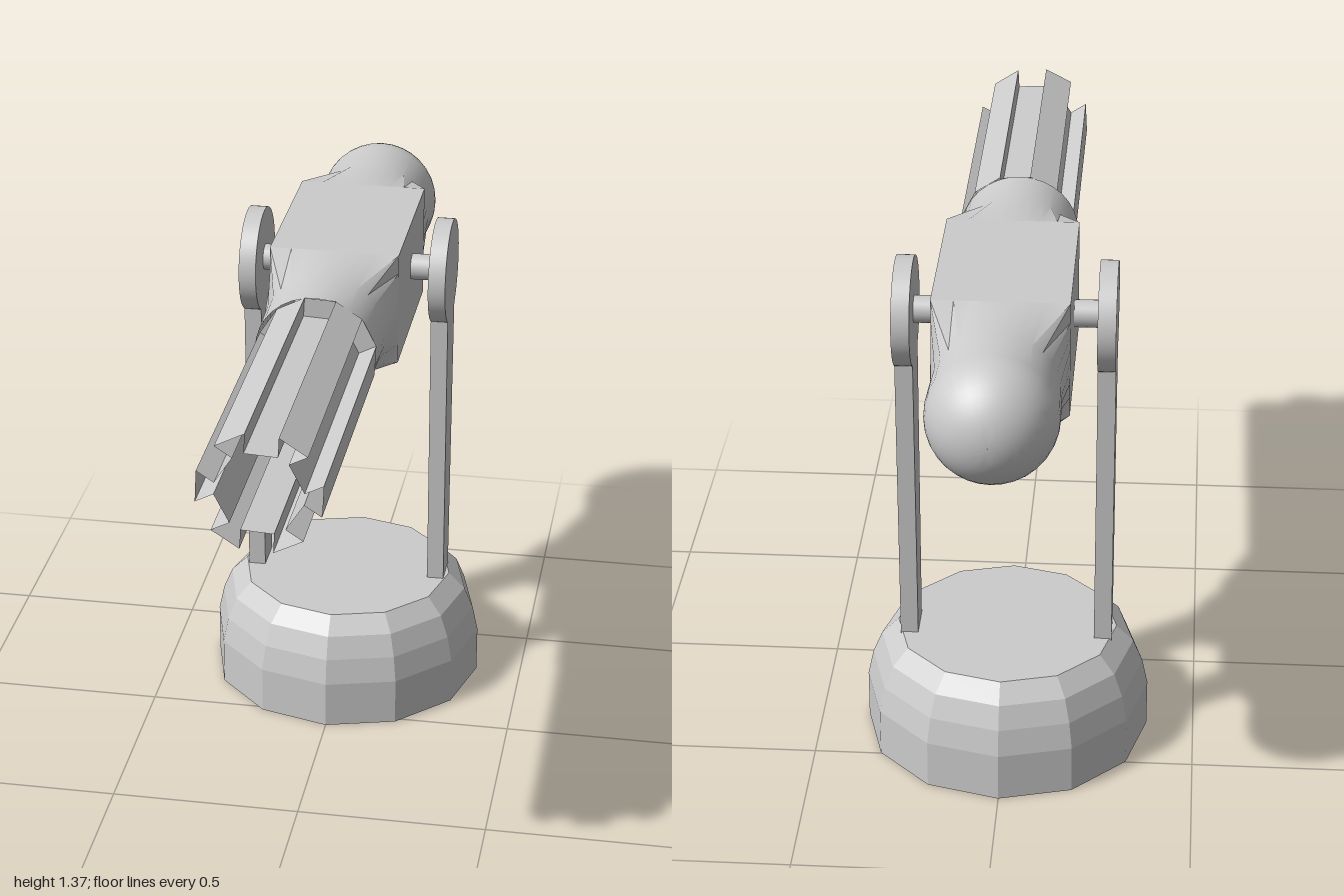
import * as THREE from 'three';
import { toCreasedNormals } from 'three/addons/utils/BufferGeometryUtils.js';

const grey = new THREE.MeshStandardMaterial({ color: 0xcccccc, side: THREE.DoubleSide });
const flatGrey = new THREE.MeshStandardMaterial({ color: 0xcccccc, side: THREE.DoubleSide, flatShading: true });
const AXIS_Y = 1.207, PIVOT_Z = -0.325;

// Skin between closed rings of points, ordered along +z
function loft(rings) {
  const n = rings[0].length, index = [];
  for (let i = 0; i < rings.length - 1; i++) {
    for (let j = 0; j < n; j++) {
      const k = (j + 1) % n;
      const a = i * n + j, b = i * n + k, c = a + n, d = b + n;
      index.push(a, b, d, a, d, c);
    }
  }
  const g = new THREE.BufferGeometry().setFromPoints(rings.flat());
  g.setIndex(index);
  g.computeVertexNormals();
  return g;
}

// Ring that is either round or square
function ring(z, rx, ry, square = false, y = AXIS_Y, n = 32) {
  return Array.from({ length: n }, (_, i) => {
    const a = (i / n) * Math.PI * 2, c = Math.cos(a), s = Math.sin(a);
    const k = square ? 1 / Math.max(Math.abs(c), Math.abs(s)) : 1;
    return new THREE.Vector3(c * k * rx, y + s * k * ry, z);
  });
}

function add(group, name, geometry, material = grey) {
  const mesh = new THREE.Mesh(geometry, material);
  mesh.name = name;
  group.add(mesh);
  return mesh;
}

export function createModel() {
  const model = new THREE.Group();
  model.name = 'mountedBarrel';

  // Faceted base, hollow underneath, closed on top
  const profile = [[0.375, 0], [0.375, 0.13], [0.36, 0.2], [0.335, 0.26], [0.29, 0.305], [0, 0.305]]
    .map(([r, y]) => new THREE.Vector2(r, y));
  const base = add(model, 'base', new THREE.LatheGeometry(profile, 12), flatGrey);
  base.position.z = -0.31;

  // Two tapered arms with round heads, and their axle stubs
  const arm = new THREE.Shape();
  const headY = 1.225, headR = 0.14, a0 = -Math.PI / 2 + 0.5;
  arm.moveTo(PIVOT_Z - 0.05, 0.29);
  arm.lineTo(PIVOT_Z + 0.05, 0.29);
  arm.lineTo(PIVOT_Z + headR * Math.cos(a0), headY + headR * Math.sin(a0));
  arm.absarc(PIVOT_Z, headY, headR, a0, Math.PI - a0, false);
  for (const side of [1, -1]) {
    const g = new THREE.ExtrudeGeometry(arm, { depth: 0.046, bevelEnabled: false, curveSegments: 32 });
    g.rotateY(-Math.PI / 2);
    g.translate(0.023 + side * 0.255, 0, 0);
    add(model, side > 0 ? 'leftArm' : 'rightArm', toCreasedNormals(g, 0.5));

    const axle = add(model, side > 0 ? 'leftAxle' : 'rightAxle', new THREE.CylinderGeometry(0.035, 0.035, 0.08, 24));
    axle.rotation.z = Math.PI / 2;
    axle.position.set(side * 0.2, 1.23, PIVOT_Z);
  }

  // Rounded tail: dome blending into the square housing
  const domeR = 0.162, domeZ = -0.838, tail = [];
  for (let i = 0; i <= 12; i++) {
    const t = (i / 12) * Math.PI / 2, r = Math.max(domeR * Math.sin(t), 0.0005);
    tail.push(ring(domeZ - domeR * Math.cos(t), r, r));
  }
  tail.push(ring(-0.72, 0.158, 0.155), ring(-0.55, 0.17, 0.1525, true, 1.2125));
  add(model, 'tail', toCreasedNormals(loft(tail), 0.6));

  // Square housing, open at both ends
  add(model, 'housing', toCreasedNormals(loft([
    ring(-0.55, 0.17, 0.1525, true, 1.2125),
    ring(-0.075, 0.17, 0.1525, true, 1.2125),
  ]), 0.6));

  // Collar from square to round
  add(model, 'collar', toCreasedNormals(loft([
    ring(-0.075, 0.17, 0.1525, true, 1.2125),
    ring(0.08, 0.16, 0.154),
    ring(0.22, 0.155, 0.152),
  ]), 0.6));

  // Twelve-sided barrel whose alternate sides are sunk into slots
  const R = 0.155, depth = 0.05, half = Math.PI / 12;
  const z0 = 0.22, z1 = 1, barrel = [], slotEnds = [];
  for (let i = 0; i < 6; i++) {
    const mid = THREE.MathUtils.degToRad(87 + i * 60);
    const outer = [-half, half].map(d => new THREE.Vector2(R * Math.cos(mid + d), R * Math.sin(mid + d)));
    const inward = new THREE.Vector2(Math.cos(mid), Math.sin(mid)).multiplyScalar(-depth);
    const inner = outer.map(p => p.clone().add(inward));
    barrel.push(outer[0], inner[0], inner[1], outer[1]);
    slotEnds.push(new THREE.Shape([inner[0], outer[0], outer[1], inner[1]]));
  }
  const barrelX = 0.006;
  const at = z => barrel.map(p => new THREE.Vector3(p.x + barrelX, p.y + AXIS_Y, z));
  add(model, 'slottedBarrel', loft([at(z0), at(z1)]), flatGrey);
  const ends = add(model, 'slotEnds', new THREE.ShapeGeometry(slotEnds));
  ends.position.set(barrelX, AXIS_Y, z0);

  return model;
}
